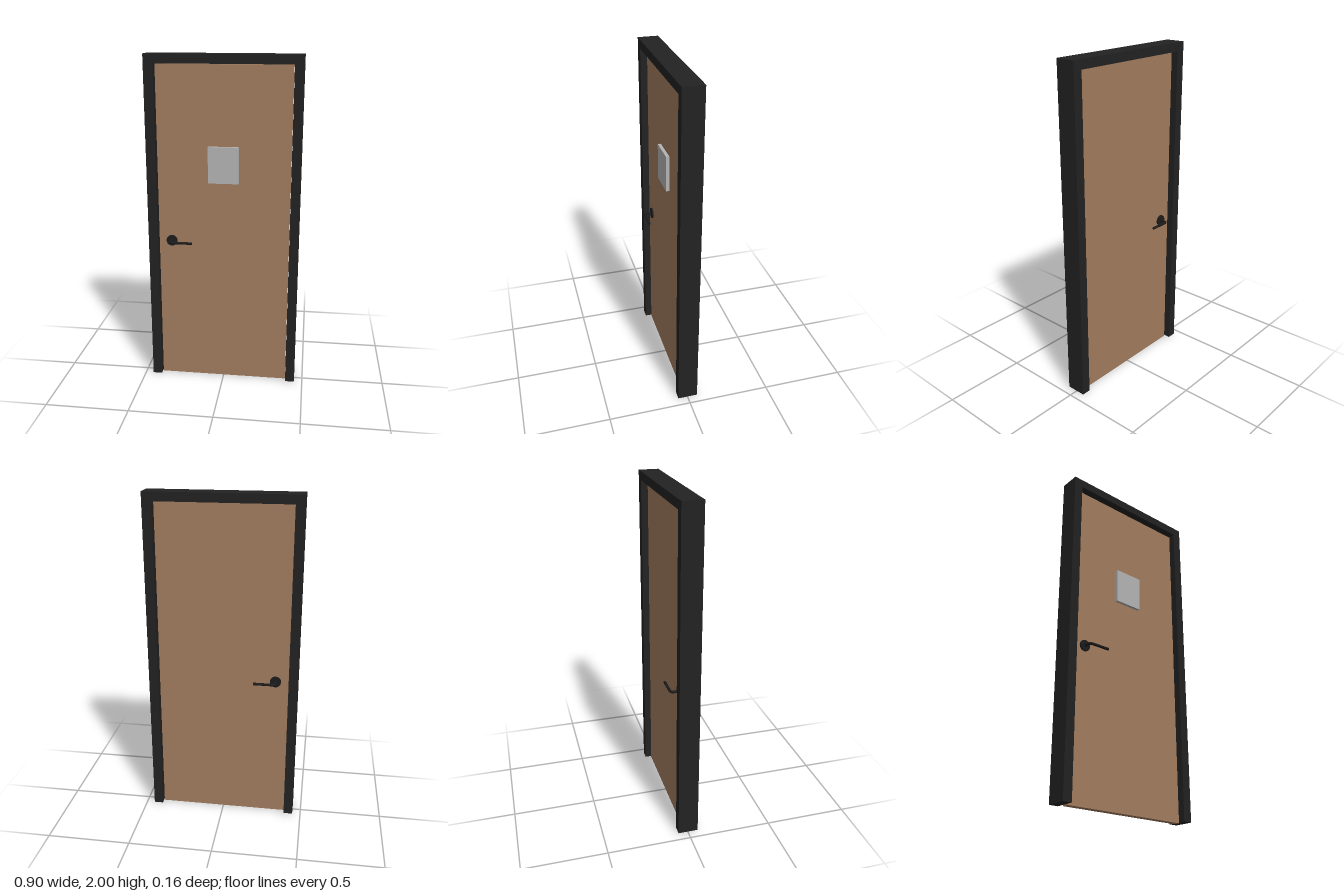
import * as THREE from 'three';

const material = (name, color) => {
  const m = new THREE.MeshStandardMaterial({ color });
  m.name = name;
  return m;
};

export function createModel() {
  const frameBlack = material('frame black', 0x222222);
  const doorWood = material('door wood', 0xa27c5e);
  const panelGrey = material('panel grey', 0xb4b4b4);
  const handleBlack = material('handle black', 0x1c1c1c);

  const model = new THREE.Group();
  model.name = 'door';
  const add = (parent, name, geometry, mat, x = 0, y = 0, z = 0) => {
    const mesh = new THREE.Mesh(geometry, mat);
    mesh.name = name;
    mesh.position.set(x, y, z);
    parent.add(mesh);
    return mesh;
  };

  // Frame: one U-shaped outline, open at the floor
  const outline = [[-0.45, 0.005], [-0.395, 0.005], [-0.395, 1.948], [0.395, 1.948],
    [0.395, 0.005], [0.45, 0.005], [0.45, 2], [-0.45, 2]];
  const shape = new THREE.Shape(outline.map(([x, y]) => new THREE.Vector2(x, y)));
  add(model, 'frame', new THREE.ExtrudeGeometry(shape, { depth: 0.12, bevelEnabled: false }),
    frameBlack, 0, 0, -0.06);

  // Door leaf, set back from both faces of the frame with a narrow gap around it
  add(model, 'doorLeaf', new THREE.BoxGeometry(0.784, 1.943, 0.04), doorWood, 0, 0.9715, 0);

  // Raised panel on the front
  add(model, 'frontPanel', new THREE.BoxGeometry(0.18, 0.215, 0.02), panelGrey, 0, 1.3725, 0.029);

  // Handles: a round plate and a bent lever, mirrored to the back by turning about x
  const leverPath = new THREE.CurvePath();
  const v = (x, z) => new THREE.Vector3(x, 0, z);
  leverPath.add(new THREE.LineCurve3(v(0, 0.02), v(0, 0.054)));
  leverPath.add(new THREE.QuadraticBezierCurve3(v(0, 0.054), v(0, 0.073), v(0.02, 0.073)));
  leverPath.add(new THREE.LineCurve3(v(0.02, 0.073), v(0.13, 0.073)));
  for (const [name, turn] of [['frontHandle', 0], ['backHandle', Math.PI]]) {
    const handle = new THREE.Group();
    handle.name = name;
    handle.position.set(-0.315, 0.9, 0);
    handle.rotation.x = turn;
    add(handle, 'plate', new THREE.CylinderGeometry(0.033, 0.033, 0.01, 20), handleBlack, 0, 0, 0.025)
      .rotation.x = Math.PI / 2;
    add(handle, 'lever', new THREE.TubeGeometry(leverPath, 40, 0.008, 10), handleBlack);
    // Cap on the free end of the lever
    add(handle, 'leverEnd', new THREE.CircleGeometry(0.008, 10), handleBlack, 0.13, 0, 0.073)
      .rotation.y = Math.PI / 2;
    model.add(handle);
  }
  return model;
}
